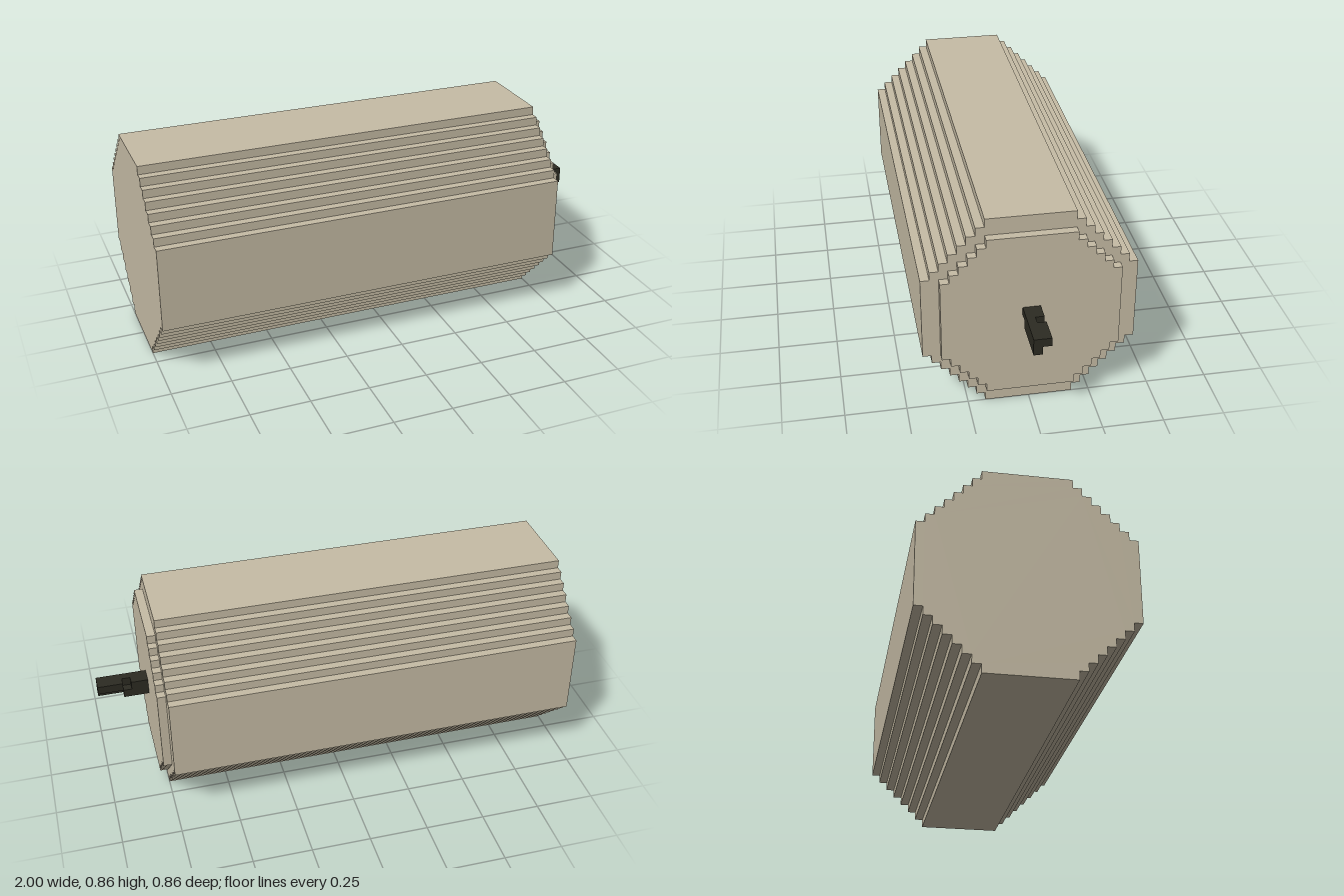
import * as THREE from 'three';

const U = 1 / 28; // one block

// Stepped octagon: flat sides 10 blocks wide, then one-block stairs
function steppedShape(radius) {
  const quarter = [];
  for (let x = radius, y = 5; x >= 5; x--, y++) {
    quarter.push([x, y]);
    if (x > 5) quarter.push([x - 1, y]);
  }
  const points = [];
  for (let q = 0; q < 4; q++) {
    for (const [x, y] of quarter) {
      const [a, b] = [[x, y], [-y, x], [-x, -y], [y, -x]][q];
      points.push(new THREE.Vector2(a * U, b * U));
    }
  }
  return new THREE.Shape(points);
}

export function createModel() {
  const group = new THREE.Group();
  const beige = new THREE.MeshStandardMaterial({ color: 0xc6bca5 });
  beige.name = 'beige';
  const dark = new THREE.MeshStandardMaterial({ color: 0x2c2b22 });
  dark.name = 'darkGrey';

  // Stepped drum section from block x0, running along x
  function drum(name, radius, x0, length) {
    const geo = new THREE.ExtrudeGeometry(steppedShape(radius), { depth: length * U, bevelEnabled: false });
    geo.rotateY(Math.PI / 2);
    const mesh = new THREE.Mesh(geo, beige);
    mesh.name = name;
    mesh.position.set(x0 * U, 12 * U, 0);
    group.add(mesh);
  }
  drum('body', 12, -28, 49);
  drum('endCap', 10, 21, 1);

  // Pin: four one-block bars with small notches, [start, length, row, side]
  const pin = new THREE.Group();
  pin.name = 'pin';
  const bars = [
    [0, 6, 1, 1], // upper front
    [1, 5, -1, 1], // lower front, notched at the base
    [0, 2, 1, -1], [3, 3, 1, -1], // upper back, notched in the middle
    [0, 3, -1, -1], // lower back, cut short
  ];
  for (const [start, length, row, side] of bars) {
    const bar = new THREE.Mesh(new THREE.BoxGeometry(length * U, U, U), dark);
    bar.name = 'pinBar';
    bar.position.set((22 + start + length / 2) * U, (12 + row / 2) * U, side * U / 2);
    pin.add(bar);
  }
  group.add(pin);
  return group;
}
